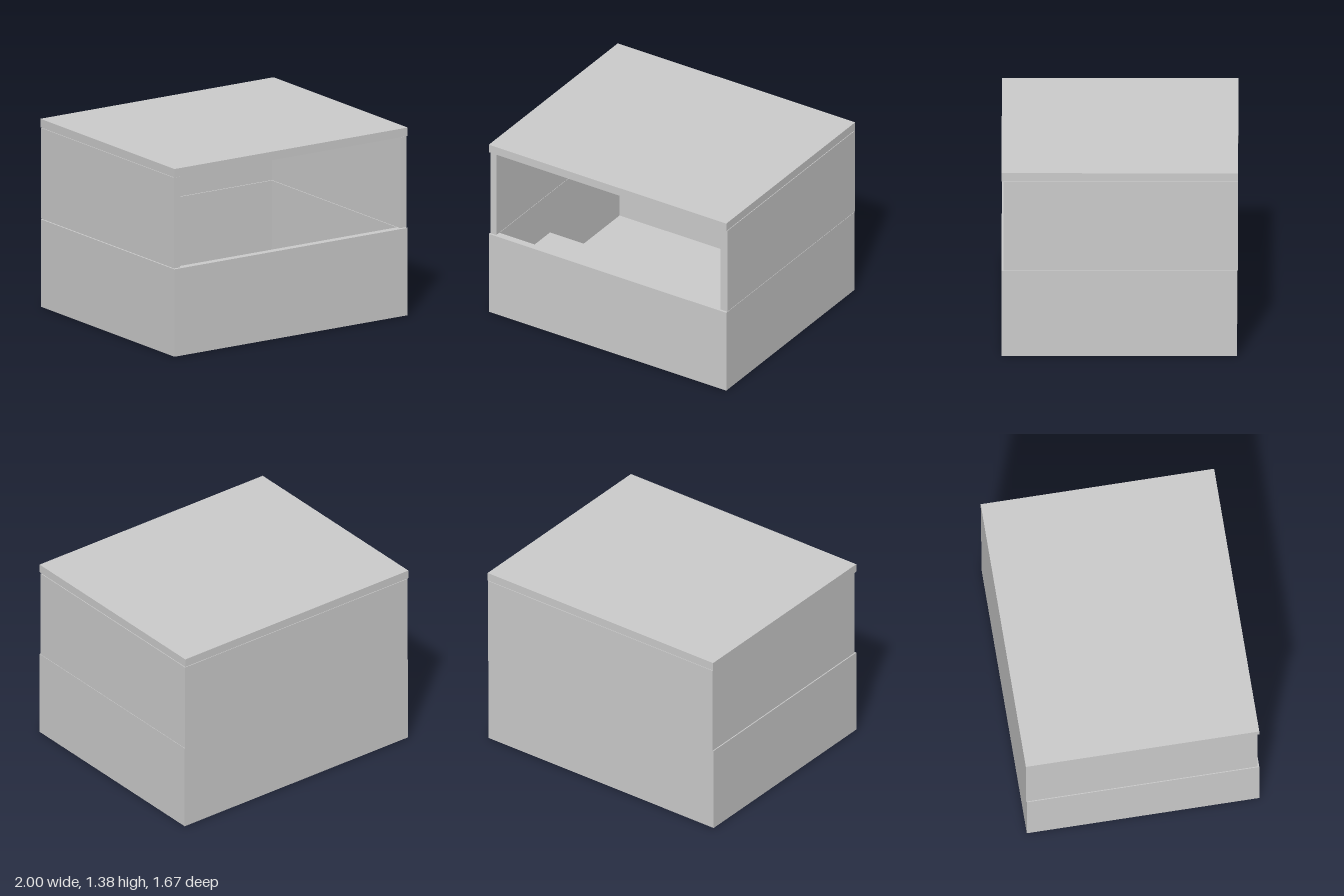
import * as THREE from 'three';

export function createModel() {
  const model = new THREE.Group();
  const material = new THREE.MeshStandardMaterial({ color: 0xcccccc, flatShading: true });

  // Box panel given by its [min, max] range on each axis
  const panel = (name, [x0, x1], [y0, y1], [z0, z1]) => {
    const mesh = new THREE.Mesh(new THREE.BoxGeometry(x1 - x0, y1 - y0, z1 - z0), material);
    mesh.position.set((x0 + x1) / 2, (y0 + y1) / 2, (z0 + z1) / 2);
    mesh.name = name;
    model.add(mesh);
  };

  const t = 0.055;            // board thickness
  const inner = 1 - t;        // inside face of the side boards
  const lower = [0.004, 0.643];
  const upper = [0.646, 1.309];

  // Lower box: floor, front, back and sides
  panel('floor', [-inner, inner], [0, 0.01], [-0.775, 0.78]);
  panel('lowerFront', [-1, 1], lower, [0.835 - t, 0.835]);
  panel('lowerBack', [-inner, inner], lower, [-0.828, -0.775]);
  panel('lowerLeftSide', [inner, 1], lower, [-0.828, 0.78]);
  panel('lowerRightSide', [-1, -inner], lower, [-0.828, 0.78]);

  // Half-depth shelf inside, behind the front board
  panel('innerShelf', [-inner, inner], [0.32 - t, 0.32], [0.127, 0.78]);

  // Upper walls, open at the front
  panel('upperBack', [-inner, inner], upper, [-0.833, -0.775]);
  panel('upperLeftSide', [inner, 1], upper, [-0.833, 0.822]);
  panel('upperRightSide', [-0.995, -inner], upper, [-0.833, 0.822]);

  // Lid with a narrow shadow gap below
  panel('lid', [-1, 1], [1.314, 1.376], [-0.835, 0.835]);

  return model;
}
